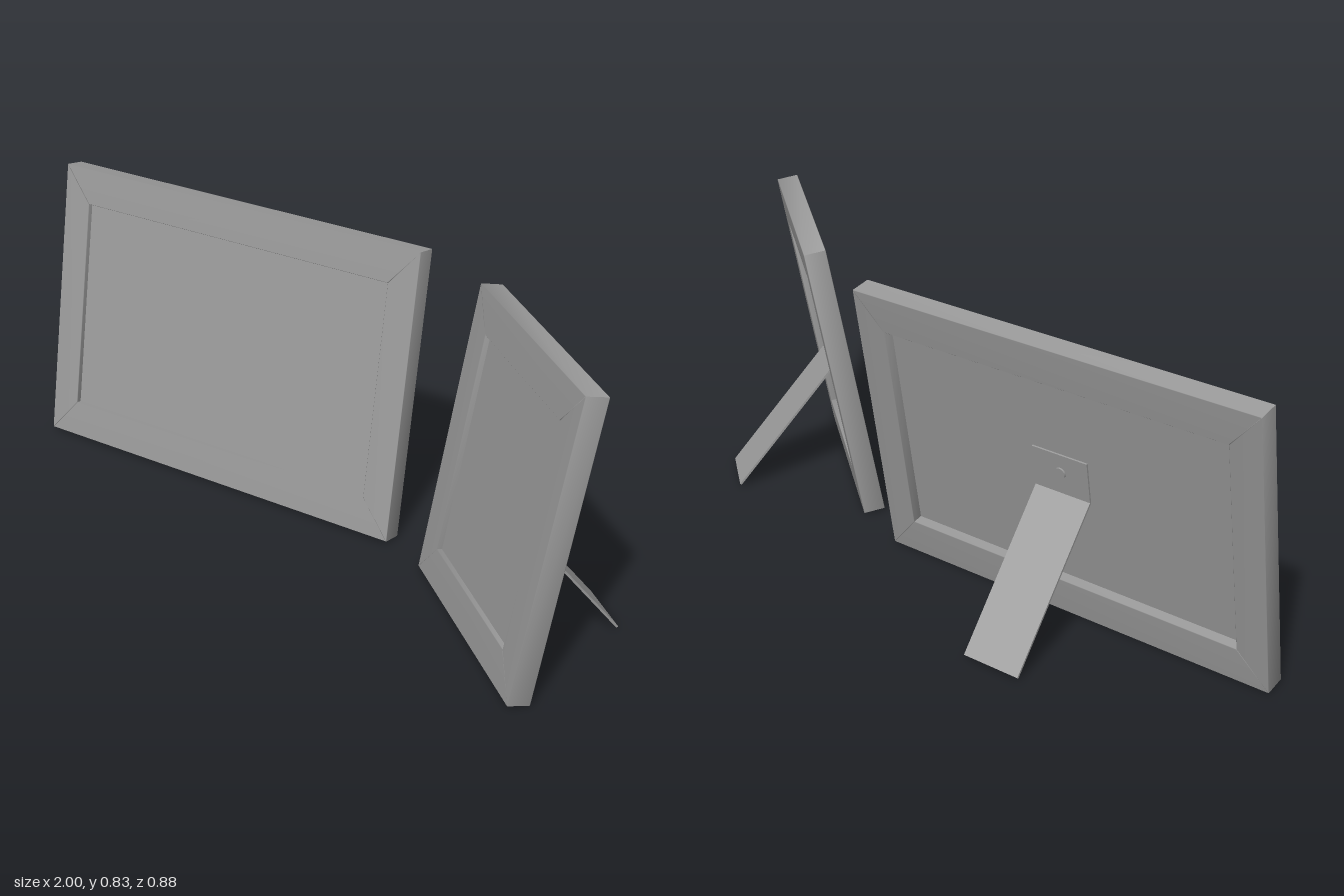
import * as THREE from 'three';
import { mergeVertices } from 'three/addons/utils/BufferGeometryUtils.js';

const H = 0.835, T = 0.062;             // frame height and thickness
const RAIL_X = 0.09, RAIL_Y = 0.105;    // side rail and top/bottom rail widths
const BEVEL = 0.0015;                   // softened rail edges
const PANEL_FRONT = 0.016, PANEL_BACK = -0.001; // local z of the picture panel faces
const deg = THREE.MathUtils.degToRad;

const material = new THREE.MeshStandardMaterial({ color: 0x9a9a9a });

function addMesh(parent, name, geometry, x = 0, y = 0, z = 0) {
  const mesh = new THREE.Mesh(geometry, material);
  mesh.name = name;
  mesh.position.set(x, y, z);
  parent.add(mesh);
  return mesh;
}

// One mitred rail: a four-cornered outline extruded with a fine bevel and smooth normals,
// so that a thin groove shows where two rails meet
function addRail(parent, name, corners) {
  const shape = new THREE.Shape(corners.map(([x, y]) => new THREE.Vector2(x, y)));
  const extruded = new THREE.ExtrudeGeometry(shape, {
    depth: T - 2 * BEVEL, bevelThickness: BEVEL, bevelSize: BEVEL,
    bevelOffset: -BEVEL, bevelSegments: 1,
  });
  extruded.deleteAttribute('normal');
  extruded.deleteAttribute('uv');
  const geometry = mergeVertices(extruded, 1e-5);
  geometry.computeVertexNormals();
  addMesh(parent, name, geometry, 0, 0, BEVEL - T / 2);
}

// Frame standing on its lower back edge, leaning back on a hinged leg
function pictureFrame(name, width) {
  const frame = new THREE.Group();
  frame.name = name;
  const lean = new THREE.Group();
  lean.name = 'leaningBody';
  lean.rotation.x = deg(-10);
  lean.position.y = (T / 2) * Math.sin(deg(10));
  frame.add(lean);

  // Mitred rails, from outer (o) and inner (i) corners
  const w = width / 2;
  const o = [[-w, 0], [w, 0], [w, H], [-w, H]];
  const i = [[-w + RAIL_X, RAIL_Y], [w - RAIL_X, RAIL_Y],
    [w - RAIL_X, H - RAIL_Y], [-w + RAIL_X, H - RAIL_Y]];
  ['bottomRail', 'leftRail', 'topRail', 'rightRail'].forEach((rail, k) => {
    const n = (k + 1) % 4;
    addRail(lean, rail, [o[k], o[n], i[n], i[k]]);
  });

  // Recessed picture panel
  addMesh(lean, 'picturePanel',
    new THREE.BoxGeometry(width - 2 * RAIL_X, H - 2 * RAIL_Y, PANEL_FRONT - PANEL_BACK),
    0, H / 2, (PANEL_FRONT + PANEL_BACK) / 2);

  // Hinge plate with its round button
  const hingeY = 0.38, plateH = 0.123, plateT = 0.005, legW = 0.172;
  addMesh(lean, 'hingePlate', new THREE.BoxGeometry(legW, plateH, plateT),
    0, hingeY + plateH / 2, PANEL_BACK - plateT / 2);
  const button = new THREE.CylinderGeometry(0.0165, 0.0165, 0.005, 24).rotateX(Math.PI / 2);
  addMesh(lean, 'plateButton', button, 0, 0.447, PANEL_BACK - plateT - 0.0025);

  // Support leg swung out from the hinge
  const legL = 0.48, legT = 0.006;
  const leg = addMesh(lean, 'supportLeg',
    new THREE.BoxGeometry(legW, legL, legT).translate(0, -legL / 2, 0),
    0, hingeY, PANEL_BACK - plateT / 2);
  leg.rotation.x = deg(49);
  return frame;
}

export function createModel() {
  const model = new THREE.Group();
  model.name = 'pictureFrames';

  const wide = pictureFrame('wideFrame', 1.225);
  wide.position.set(-0.3875, 0, -0.067);

  const tall = pictureFrame('tallFrame', 0.658);
  tall.position.set(0.635, 0, 0.207);
  tall.rotation.y = deg(-40);

  model.add(wide, tall);
  return model;
}
